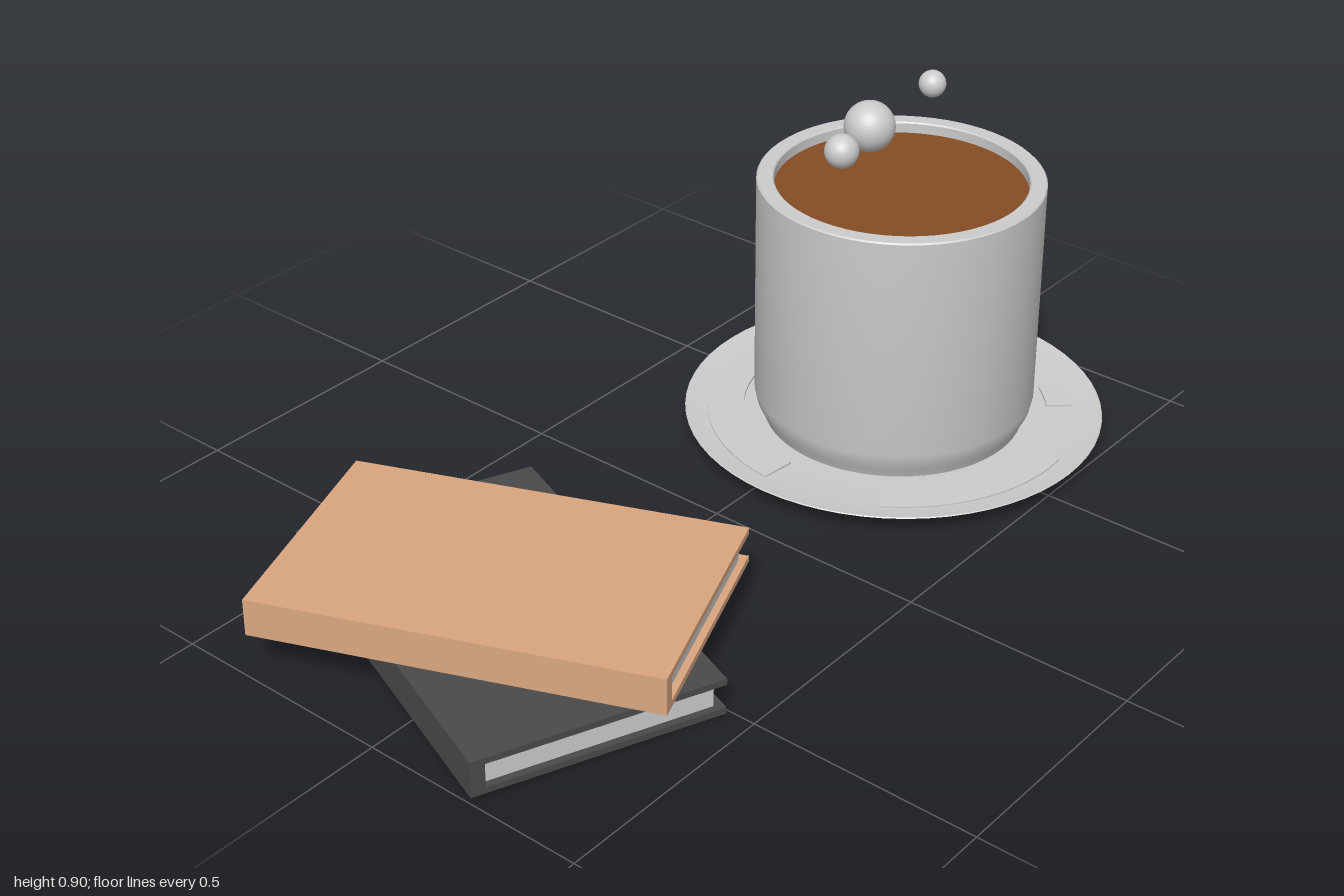
import * as THREE from 'three';
import { toCreasedNormals } from 'three/addons/utils/BufferGeometryUtils.js';

const grey = new THREE.MeshStandardMaterial({ color: 0xcccccc });
const tan = new THREE.MeshStandardMaterial({ color: 0xd9a680 });
const dark = new THREE.MeshStandardMaterial({ color: 0x4a4a4a });
const coffee = new THREE.MeshStandardMaterial({ color: 0x854d24 });

function add(parent, name, geometry, material, x = 0, y = 0, z = 0) {
  const mesh = new THREE.Mesh(geometry, material);
  mesh.name = name;
  mesh.position.set(x, y, z);
  parent.add(mesh);
  return mesh;
}

function lathe(points) {
  const geo = new THREE.LatheGeometry(points.map(([r, y]) => new THREE.Vector2(r, y)), 64);
  return toCreasedNormals(geo, 0.6);
}

// Book: two covers, a spine on the -x side and a recessed block of pages
function book(name, cover, y, x, z, turn) {
  const w = 0.525, h = 0.08, l = 0.838, t = 0.014;
  const g = new THREE.Group();
  g.name = name;
  for (const s of [-1, 1]) {
    add(g, s > 0 ? 'topCover' : 'bottomCover', new THREE.BoxGeometry(w, t, l), cover, 0, s * (h - t) / 2, 0);
  }
  add(g, 'spine', new THREE.BoxGeometry(0.03, h - 2 * t, l), cover, -w / 2 + 0.015, 0, 0);
  add(g, 'pages', new THREE.BoxGeometry(w - 0.05, h - 2 * t, l - 0.03), grey, 0.005, 0, 0);
  g.position.set(x, y, z);
  g.rotation.set(0, turn, -0.02); // turned, and resting slightly higher at the spine
  return g;
}

// Raised arc on the saucer, angles in degrees
function saucerArc(from, to, inner, outer) {
  const a = THREE.MathUtils.degToRad(from), b = THREE.MathUtils.degToRad(to);
  const shape = new THREE.Shape();
  shape.absarc(0, 0, outer, a, b, false);
  shape.absarc(0, 0, inner, b, a, true);
  return new THREE.ExtrudeGeometry(shape, { depth: 0.007, bevelEnabled: false, curveSegments: 20 })
    .rotateX(-Math.PI / 2);
}

// Handle: chamfered C outline, extruded across its width
function handleGeometry() {
  const outline = [
    [0.28, 0.482], [0.39, 0.468], [0.44, 0.44], [0.458, 0.40], [0.458, 0.26], [0.44, 0.215], [0.39, 0.192],
    [0.28, 0.192], [0.28, 0.262], [0.36, 0.262], [0.386, 0.285], [0.386, 0.375], [0.36, 0.398], [0.28, 0.398],
  ];
  outline[0][1] = 0.468;
  const shape = new THREE.Shape(outline.map(([x, y]) => new THREE.Vector2(x, y)));
  const geo = new THREE.ExtrudeGeometry(shape, {
    depth: 0.101, bevelThickness: 0.007, bevelSize: 0.007, bevelSegments: 3,
  });
  return toCreasedNormals(geo.translate(0, 0, -0.0505), 0.9);
}

export function createModel() {
  const model = new THREE.Group();
  model.name = 'coffeeAndBooks';

  model.add(book('lowerBook', dark, 0.046, -0.6, -0.045, -0.372));
  model.add(book('upperBook', tan, 0.136, -0.598, -0.045, 0.391));

  const set = new THREE.Group();
  set.name = 'cupAndSaucer';
  set.position.set(0.535, 0, 0.065);
  model.add(set);

  // Saucer with a stepped foot and shallow dish
  add(set, 'saucer', lathe([
    [0, 0.003], [0.365, 0.003], [0.385, 0.006], [0.395, 0.015], [0.425, 0.025],
    [0.46, 0.046], [0.458, 0.048], [0.41, 0.04], [0.32, 0.037], [0, 0.037],
  ]), grey);
  for (const [from, to, inner, outer] of [[76, 175, 0.33, 0.41], [212, 276, 0.34, 0.41], [309, 322, 0.34, 0.40]]) {
    add(set, 'saucerRelief', saucerArc(from, to, inner, outer), grey, 0, 0.036, 0);
  }

  // Cup with rounded base and hollow rim
  add(set, 'cup', lathe([
    [0, 0.036], [0.285, 0.036], [0.292, 0.055], [0.302, 0.075], [0.307, 0.1], [0.307, 0.602],
    [0.304, 0.605], [0.273, 0.605], [0.27, 0.602], [0.27, 0.1], [0, 0.08],
  ]), grey);
  add(set, 'coffee', new THREE.CircleGeometry(0.271, 64).rotateX(-Math.PI / 2), coffee, 0, 0.58, 0);
  add(set, 'handle', handleGeometry(), grey);

  // Steam puffs above the cup
  for (const [x, y, z, r] of [[0.525, 0.702, -0.015, 0.055], [0.315, 0.747, 0.068, 0.036], [0.465, 0.876, 0.18, 0.028]]) {
    add(model, 'steamPuff', new THREE.SphereGeometry(r, 32, 20), grey, x, y, z);
  }
  return model;
}
